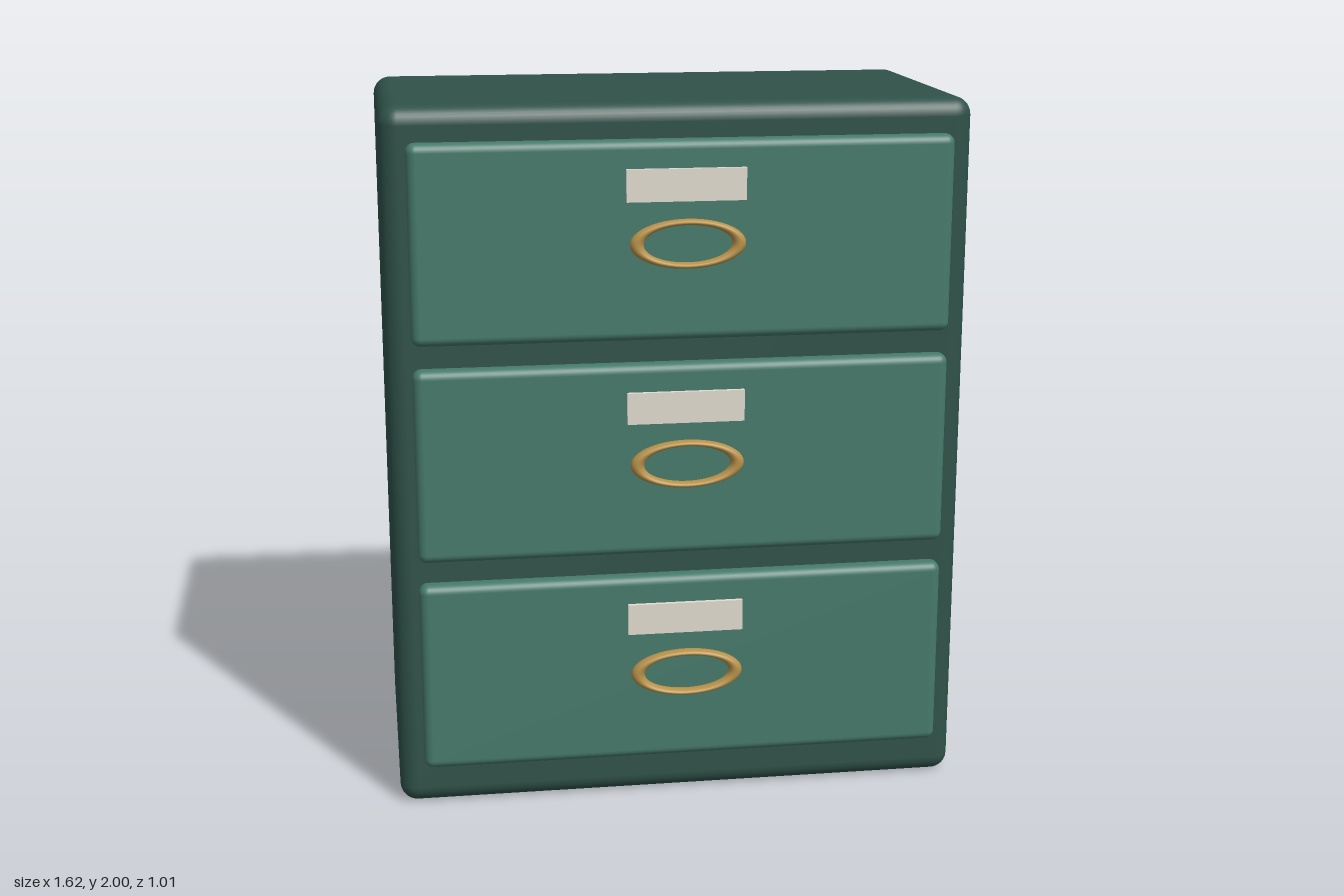
import * as THREE from 'three';
import { RoundedBoxGeometry } from 'three/addons/geometries/RoundedBoxGeometry.js';

const paint = (color) => new THREE.MeshStandardMaterial({ color });

export function createModel() {
  const model = new THREE.Group();
  model.name = 'drawerCabinet';

  const cabinetPaint = paint(0x2f5249);
  const drawerPaint = paint(0x467a6b);
  const paper = paint(0xe2dccf);
  const brass = paint(0xb8924a);

  const add = (parent, name, geometry, material, x, y, z) => {
    const mesh = new THREE.Mesh(geometry, material);
    mesh.name = name;
    mesh.position.set(x, y, z);
    parent.add(mesh);
    return mesh;
  };

  // Cabinet body
  add(model, 'cabinetBody', new RoundedBoxGeometry(1.625, 2, 0.875, 4, 0.05),
    cabinetPaint, 0, 1, -0.065);

  // Shared drawer geometries
  const frontGeometry = new RoundedBoxGeometry(1.487, 0.547, 0.0625, 4, 0.025);
  const labelGeometry = new THREE.BoxGeometry(0.325, 0.088, 0.0125);
  // Ring squashed into an oval pull
  const pullGeometry = new THREE.TorusGeometry(0.139, 0.019, 16, 48).scale(1, 0.425, 1);

  // Three drawers, bottom to top, each floating just ahead of the body
  ['bottomDrawer', 'middleDrawer', 'topDrawer'].forEach((name, i) => {
    const drawer = new THREE.Group();
    drawer.name = name;
    drawer.position.y = 0.411 + i * 0.6125;
    add(drawer, 'drawerFront', frontGeometry, drawerPaint, 0, 0, 0.414);
    add(drawer, 'labelPlate', labelGeometry, paper, 0, 0.155, 0.459);
    add(drawer, 'pullRing', pullGeometry, brass, 0, 0, 0.484);
    model.add(drawer);
  });

  return model;
}
